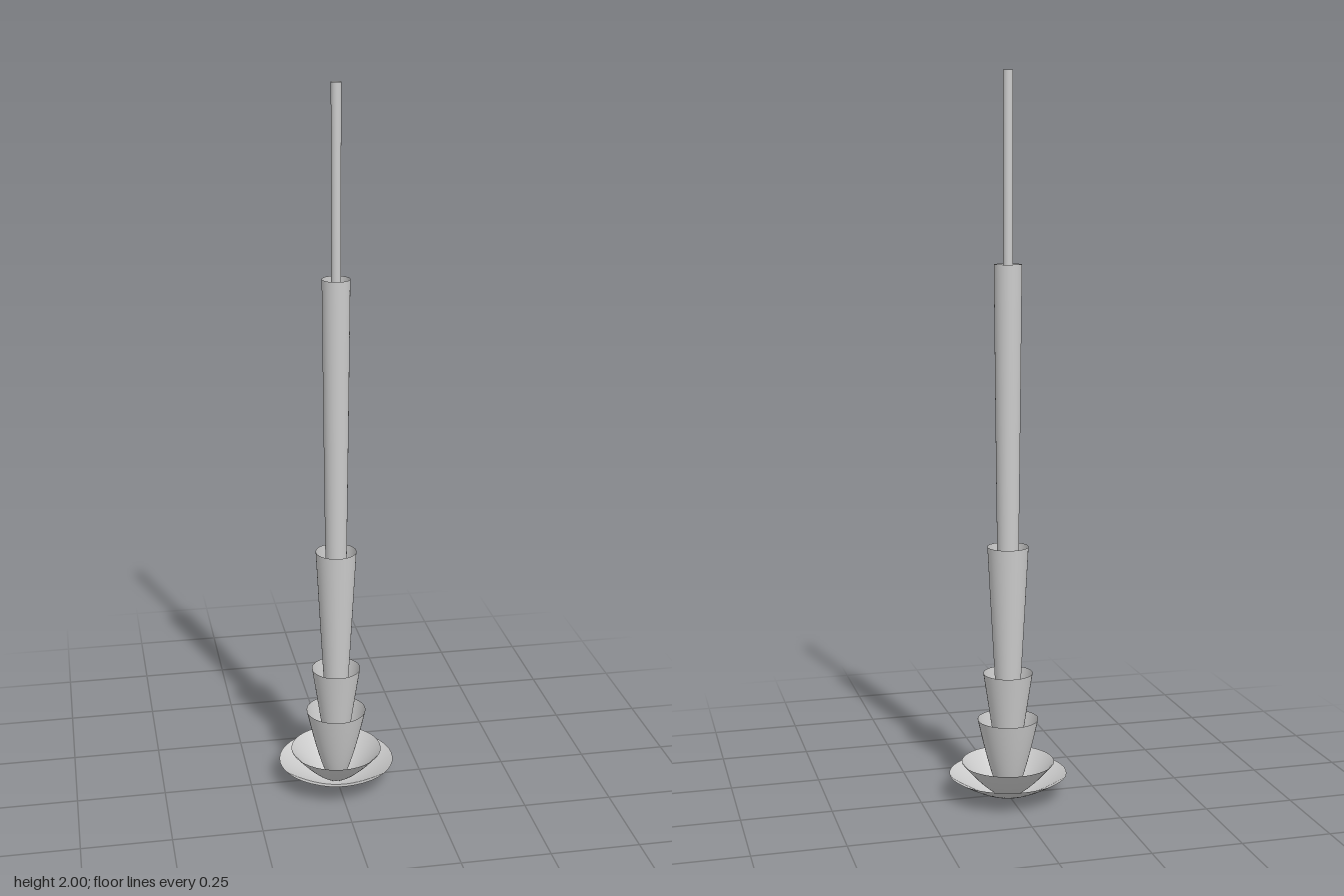
import * as THREE from 'three';

const material = new THREE.MeshStandardMaterial({ color: 0xcccccc, side: THREE.DoubleSide });

// Nested open shells, all rising from the base:
// [name, base radius, rim radius, rim height, flare exponent]
const shells = [
  ['outerBowl', 0.02, 0.165, 0.065, 0.68],
  ['innerBowl', 0.019, 0.13, 0.098, 0.73],
  ['wideCup', 0.018, 0.085, 0.222, 0.72],
  ['middleCup', 0.017, 0.069, 0.355, 1.05],
  ['tallCup', 0.015, 0.057, 0.715, 0.9],
  ['longTube', 0.012, 0.038, 1.49, 0.5],
  ['rod', 0.008, 0.0135, 2, 0.3],
];

// Thin flared shell of revolution, open at both ends
function flaredShell(name, baseRadius, rimRadius, height, flare) {
  const steps = 24;
  const profile = [];
  for (let i = 0; i <= steps; i++) {
    const t = (i / steps) ** 1.6; // more rings near the tight lower curve
    profile.push(new THREE.Vector2(
      baseRadius + (rimRadius - baseRadius) * t ** flare,
      height * t,
    ));
  }
  const mesh = new THREE.Mesh(new THREE.LatheGeometry(profile, 40), material);
  mesh.name = name;
  return mesh;
}

export function createModel() {
  const group = new THREE.Group();
  group.name = 'nestedSpire';
  for (const shell of shells) group.add(flaredShell(...shell));
  return group;
}
